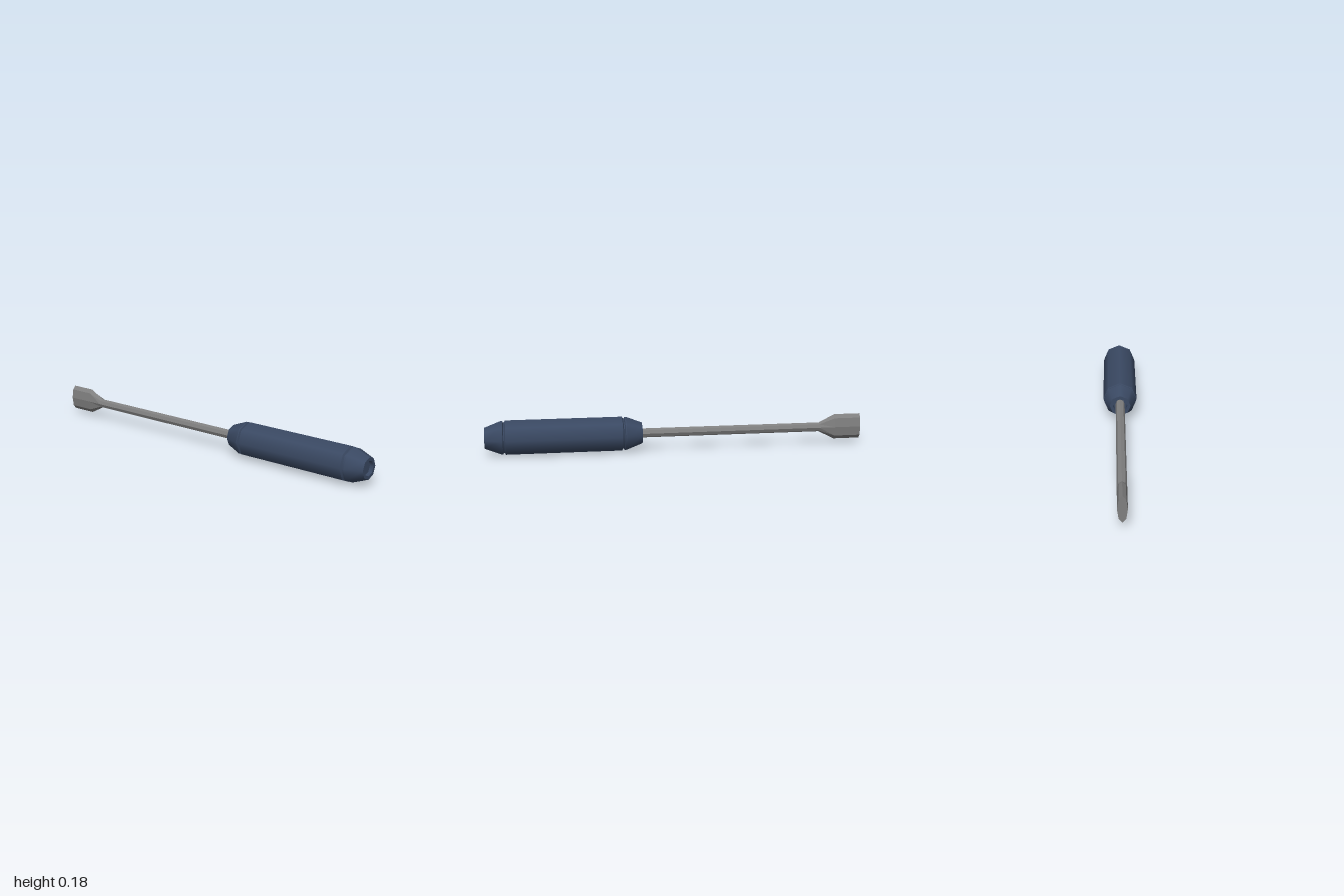
import * as THREE from 'three';
import { mergeGeometries } from 'three/addons/utils/BufferGeometryUtils.js';

const SIDES = 8;
const AXIS_Y = 0.094;

// Octagonal turned part along z; each profile step keeps a sharp edge
function turned(profile) {
  const bands = [];
  for (let i = 0; i < profile.length - 1; i++) {
    const pts = [profile[i], profile[i + 1]].map(([r, z]) => new THREE.Vector2(r, z));
    bands.push(new THREE.LatheGeometry(pts, SIDES));
  }
  return mergeGeometries(bands).rotateX(Math.PI / 2);
}

// Flat-faced octagonal rod whose rows follow [z, height scale] stations
function rod(radius, stations) {
  const rows = stations.length - 1;
  const geo = new THREE.CylinderGeometry(radius, radius, 1, SIDES, rows).rotateX(Math.PI / 2);
  const pos = geo.attributes.position;
  for (let i = 0; i < pos.count; i++) {
    const [z, s] = stations[Math.round((0.5 - pos.getZ(i)) * rows)];
    pos.setY(i, pos.getY(i) * s);
    pos.setZ(i, z);
  }
  const flat = geo.toNonIndexed();
  flat.computeVertexNormals();
  return flat;
}

export function createModel() {
  const gripBlue = new THREE.MeshStandardMaterial({ color: 0x3a4963 });
  gripBlue.name = 'gripBlue';
  const steel = new THREE.MeshStandardMaterial({ color: 0x7f7f7f });
  steel.name = 'steel';

  const model = new THREE.Group();
  model.name = 'screwdriver';
  const add = (name, geo, mat) => {
    const mesh = new THREE.Mesh(geo, mat);
    mesh.name = name;
    mesh.position.y = AXIS_Y;
    model.add(mesh);
  };

  // Handle: socket, tapered collar, groove, grip, groove, tapered butt, recess
  add('handle', turned([
    [0, 0.215], [0.039, 0.215], [0.039, 0.183], [0.057, 0.183],
    [0.09, 0.268], [0.09, 0.274], [0.081, 0.278], [0.081, 0.282],
    [0.0915, 0.288], [0.0915, 0.893],
    [0.081, 0.899], [0.081, 0.903], [0.09, 0.907], [0.09, 0.913],
    [0.056, 1], [0.039, 1], [0.039, 0.98], [0, 0.98],
  ]), gripBlue);

  // Shaft flaring into the flat blade
  add('shaftAndBlade', rod(0.0245, [[0.25, 1], [-0.775, 1], [-0.86, 2.75], [-1, 2.75]]), steel);

  return model;
}
